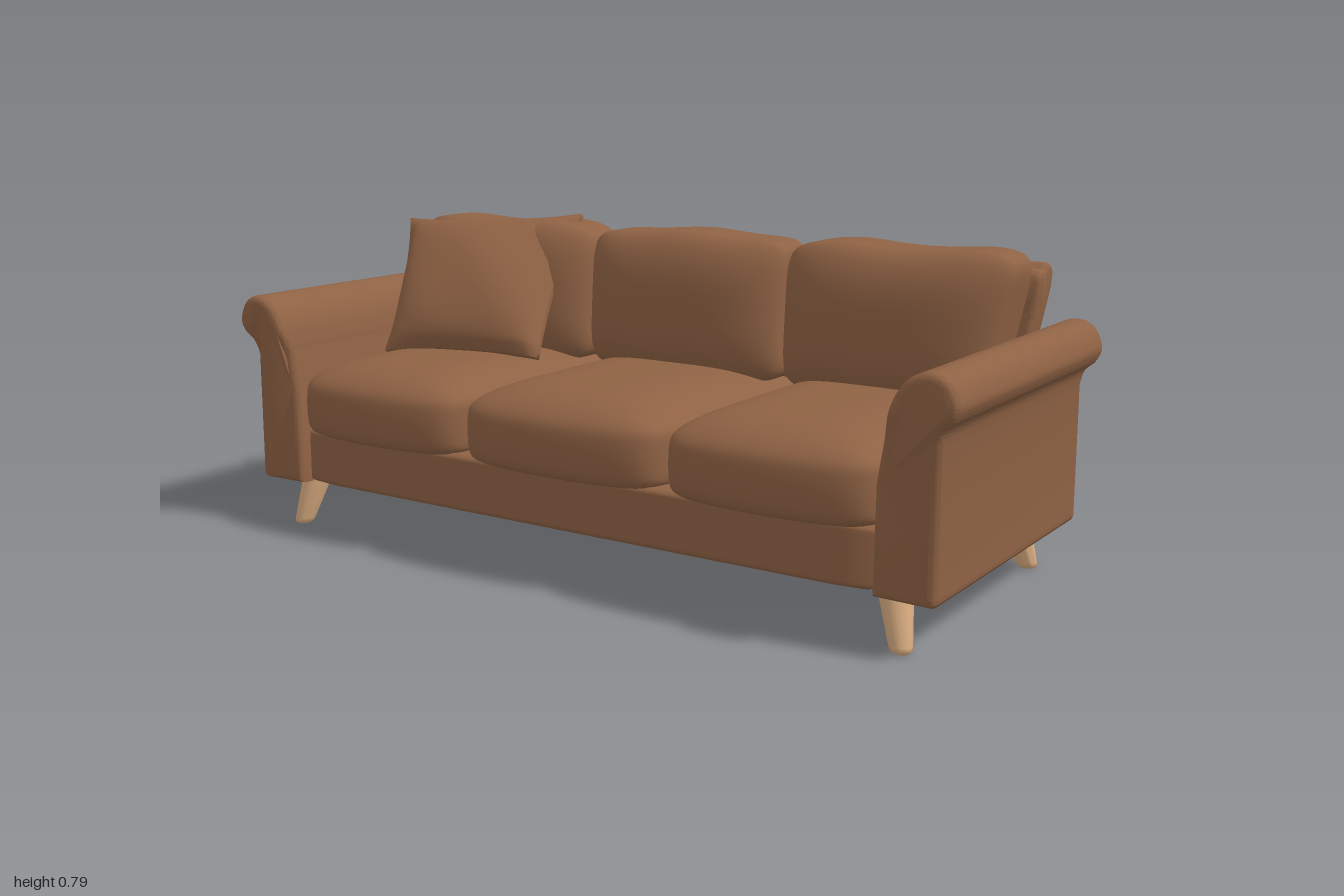
import * as THREE from 'three';
import { mergeVertices, toCreasedNormals } from 'three/addons/utils/BufferGeometryUtils.js';

const fabric = new THREE.MeshStandardMaterial({ color: 0x8f6244 });
fabric.name = 'brown fabric';
const wood = new THREE.MeshStandardMaterial({ color: 0xdbae82 });
wood.name = 'pale wood';

function add(group, name, geometry, material = fabric) {
  const mesh = new THREE.Mesh(geometry, material);
  mesh.name = name;
  group.add(mesh);
  return mesh;
}

// Move every vertex by a rule that edits the vector in place.
function warp(geometry, rule) {
  const pos = geometry.attributes.position;
  const p = new THREE.Vector3();
  for (let i = 0; i < pos.count; i++) {
    rule(p.fromBufferAttribute(pos, i));
    pos.setXYZ(i, p.x, p.y, p.z);
  }
  return geometry;
}

// Closed smooth body made from a cube spanning -1..1 and shaped by a rule.
function softBody(rule, n = 24) {
  let g = new THREE.BoxGeometry(2, 2, 2, n, n, n);
  g.deleteAttribute('uv');
  g.deleteAttribute('normal');
  g = mergeVertices(g);
  warp(g, rule);
  g.computeVertexNormals();
  return g;
}

// Round a cube point; a higher power keeps squarer corners.
function roundCube(p, k) {
  const s = Math.abs(p.x) ** k + Math.abs(p.y) ** k + Math.abs(p.z) ** k;
  return p.multiplyScalar(s ** (-1 / k));
}

// Extrude an outline along z, centred, with a soft bevel inside the outline.
function slab(shape, length, bevel) {
  const g = new THREE.ExtrudeGeometry(shape, {
    depth: length - 2 * bevel, bevelEnabled: true, bevelThickness: bevel,
    bevelSize: bevel, bevelOffset: -bevel, bevelSegments: 4, curveSegments: 36,
  });
  return g.translate(0, 0, -length / 2 + bevel);
}

// Rolled arm: upright panel whose top curls outward.
function armGeometry(side) {
  const v = (x, y) => new THREE.Vector2(side * x, y);
  const shape = new THREE.Shape();
  shape.moveTo(side * 0.815, 0.122);
  shape.lineTo(side * 0.945, 0.12);
  shape.quadraticCurveTo(side * 0.96, 0.12, side * 0.96, 0.14);
  shape.lineTo(side * 0.958, 0.45);
  shape.splineThru([
    v(0.966, 0.485), v(0.99, 0.51), v(1.0, 0.545), v(0.978, 0.59), v(0.935, 0.605),
    v(0.885, 0.583), v(0.852, 0.53), v(0.832, 0.45), v(0.818, 0.36),
  ]);
  shape.closePath();
  const g = slab(shape, 0.805, 0.018);
  // The roll overhangs the panel at both ends.
  warp(g, (p) => {
    p.z += Math.sign(p.z) * 0.019 * THREE.MathUtils.smoothstep(p.y, 0.44, 0.53);
  });
  return toCreasedNormals(g, 0.7);
}

// Back rest, profiled in depth and height, slightly wider at the top.
function backGeometry() {
  const shape = new THREE.Shape();
  shape.moveTo(0.28, 0.125);
  shape.lineTo(0.402, 0.125);
  shape.lineTo(0.408, 0.5);
  shape.splineThru([
    [0.416, 0.62], [0.425, 0.7], [0.412, 0.727], [0.39, 0.732],
    [0.366, 0.718], [0.35, 0.716], [0.335, 0.69], [0.33, 0.6],
  ].map(([z, y]) => new THREE.Vector2(z, y)));
  shape.closePath();
  const g = slab(shape, 1.74, 0.015).rotateY(Math.PI / 2);
  warp(g, (p) => { p.x *= 0.95 + 0.05 * THREE.MathUtils.smoothstep(p.y, 0.4, 0.72); });
  return toCreasedNormals(g, 0.7);
}

// Seat cushion with a crowned top and a front edge that bows forward.
function seatGeometry(cx, halfWidth) {
  return softBody((p) => {
    roundCube(p, 9);
    const { x: u, y: v, z: w } = p;
    const puffX = 1 - u ** 4, puffZ = 1 - w ** 6;
    const crown = v > 0 ? 0.05 * v * puffX * (0.15 + 0.85 * puffZ) : 0.008 * v * puffX;
    const bow = w > 0 ? w * (0.027 * (1 - u * u) + 0.012 * (1 - v * v)) : 0;
    p.set(cx + u * halfWidth, 0.328 + v * 0.073 + crown, 0.04 + w * 0.352 + bow);
  });
}

// Back cushion: fat in the middle, thin at the top; outer ones flare outward.
function backCushionGeometry(cx, halfWidth, side) {
  return softBody((p) => {
    roundCube(p, 8);
    const { x: u, y: v, z: w } = p;
    const fat = (1 - 0.35 * u ** 4) * (1 - 0.32 * Math.abs(v) ** 3);
    const flare = side * 0.07 * Math.max(0, side * u) * (v + 1) / 2;
    const ripple = 0.005 * Math.cos(u * 5 + cx * 4) * Math.max(0, v);
    p.set(
      cx + u * halfWidth * (1 - 0.015 * (1 - v * v)) + flare,
      0.592 + v * 0.18 + ripple,
      -0.218 + w * 0.135 * fat - 0.012 * v,
    );
  });
}

// Throw pillow stretched between four corners, with pinched seams.
function pillowGeometry() {
  const [bl, br, tl, tr] = [
    [-0.765, 0.435, 0.125], [-0.325, 0.445, 0.03], [-0.865, 0.765, -0.1], [-0.385, 0.79, -0.25],
  ].map((c) => new THREE.Vector3(...c));
  const normal = new THREE.Vector3().subVectors(br, bl)
    .cross(new THREE.Vector3().subVectors(tl, bl)).normalize();
  const low = new THREE.Vector3(), high = new THREE.Vector3();
  return softBody((p) => {
    const { x: u, y: v, z: w } = p;
    const a = (u * (1 - 0.07 * (1 - v * v)) + 1) / 2;
    const b = (v * (1 - 0.07 * (1 - u * u)) + 1) / 2;
    low.lerpVectors(bl, br, a);
    high.lerpVectors(tl, tr, a);
    const puff = ((1 - u * u) * (1 - v * v)) ** 0.5;
    const fold = 1 + 0.05 * Math.sin(4 * u + 3 * v);
    p.lerpVectors(low, high, b).addScaledVector(normal, w * (0.008 + 0.085 * puff * fold));
  });
}

// Tapered leg with a rounded foot, sheared so it splays outward.
function legGeometry(sx, sz) {
  const profile = [[0, 0], [0.018, 0], [0.024, 0.005], [0.026, 0.015], [0.038, 0.12], [0.039, 0.14], [0, 0.14]];
  const g = new THREE.LatheGeometry(profile.map(([r, y]) => new THREE.Vector2(r, y)), 20);
  warp(g, (p) => {
    p.x += sx * (0.866 - 0.24 * p.y);
    p.z += sz * (0.351 - 0.22 * p.y);
  });
  return toCreasedNormals(g, 0.9);
}

export function createModel() {
  const sofa = new THREE.Group();
  sofa.name = 'sofa';

  // Base rail and frame
  add(sofa, 'base', softBody((p) => {
    roundCube(p, 24);
    p.set(p.x * 0.83, 0.195 + p.y * 0.072, -0.008 + p.z * 0.393);
  }, 20));
  add(sofa, 'backRest', backGeometry());

  // Arms and legs
  for (const side of [1, -1]) {
    const label = side > 0 ? 'left' : 'right';
    add(sofa, label + 'Arm', armGeometry(side));
    for (const end of [1, -1]) {
      add(sofa, label + (end > 0 ? 'Front' : 'Back') + 'Leg', legGeometry(side, end), wood);
    }
  }

  // Cushions
  [['right', -1], ['middle', 0], ['left', 1]].forEach(([label, side]) => {
    add(sofa, label + 'SeatCushion', seatGeometry(side * 0.556, side ? 0.267 : 0.288));
    add(sofa, label + 'BackCushion', backCushionGeometry(side * 0.553, side ? 0.262 : 0.288, side));
  });
  add(sofa, 'throwPillow', pillowGeometry());

  return sofa;
}
